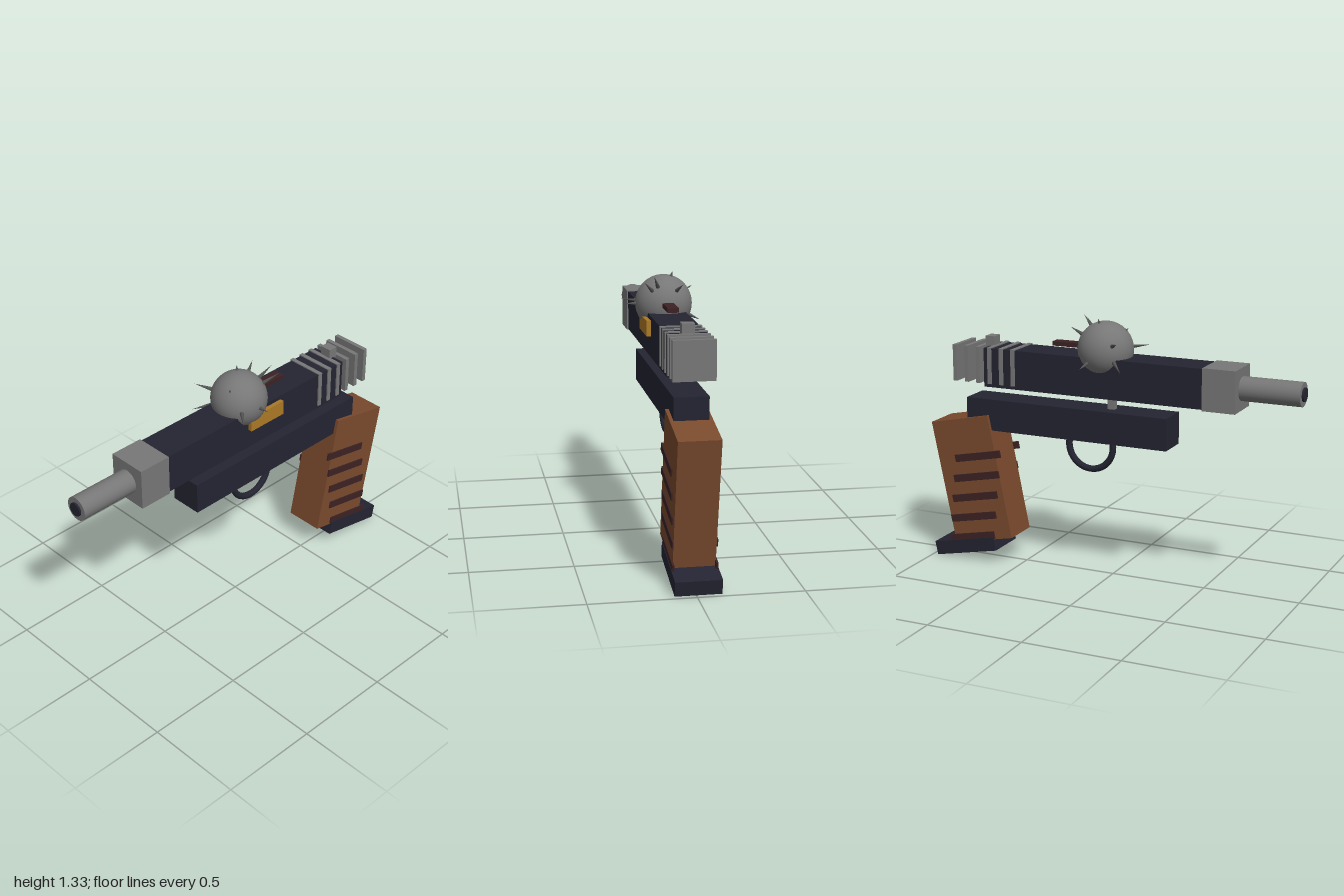
import * as THREE from 'three';

const mat = (name, color) => {
  const m = new THREE.MeshStandardMaterial({ color });
  m.name = name;
  return m;
};

export function createModel() {
  const steel = mat('steel grey', 0x777777);
  const spikeGrey = mat('dark grey', 0x555555);
  const navy = mat('dark navy', 0x242432);
  const wood = mat('wood brown', 0x7a4a2d);
  const darkWood = mat('dark brown', 0x3c2224);
  const gold = mat('gold', 0xab7926);

  const model = new THREE.Group();
  model.name = 'spikedPistol';
  const CX = -0.01; // centre plane of the gun
  const TILT = -0.2; // rake of the grip

  const add = (name, geometry, material, x, y, z, rx = 0) => {
    const m = new THREE.Mesh(geometry, material);
    m.name = name;
    m.position.set(x, y, z);
    m.rotation.x = rx;
    model.add(m);
    return m;
  };
  const box = (name, material, w, h, d, x, y, z, rx) =>
    add(name, new THREE.BoxGeometry(w, h, d), material, x, y, z, rx);
  const rod = (name, material, r, length, z) =>
    add(name, new THREE.CylinderGeometry(r, r, length, 24), material, CX, 1.047, z, Math.PI / 2);

  // Upper body, muzzle block and barrel
  box('slide', navy, 0.187, 0.2, 1.24, CX, 1.045, -0.055);
  box('muzzleBlock', steel, 0.2, 0.21, 0.17, CX, 1.045, 0.6);
  rod('barrel', steel, 0.06, 0.33, 0.825);
  rod('bore', navy, 0.034, 0.02, 0.99);

  // Lower frame and the post that carries the slide
  box('frame', navy, 0.165, 0.163, 1.112, CX, 0.795, -0.23);
  box('post', steel, 0.032, 0.09, 0.038, CX, 0.91, 0);

  // Trigger and guard
  const guard = add('triggerGuard', new THREE.TorusGeometry(0.122, 0.017, 10, 40), navy, CX, 0.674, -0.118);
  guard.rotation.y = Math.PI / 2;
  box('trigger', steel, 0.03, 0.06, 0.03, CX, 0.732, -0.128, 0.3);

  // Cooling fins and rear sight
  for (let i = 0; i < 6; i++) {
    box('rearFin', steel, 0.2, 0.188, 0.022, CX, 1.056, -0.508 - i * 0.0665);
  }
  box('rearSight', steel, 0.06, 0.055, 0.05, CX, 1.168, -0.672);

  // Raked grip with ribs on both sides and a base plate
  box('grip', wood, 0.2, 0.655, 0.338, CX, 0.439, -0.76, TILT);
  for (let i = 0; i < 5; i++) {
    for (const side of [-1, 1]) {
      box('gripRib', darkWood, 0.01, 0.038, 0.27,
        CX + side * 0.102, 0.572 - i * 0.1105, -0.719 - i * 0.0107, TILT);
    }
  }
  box('basePlate', navy, 0.22, 0.073, 0.36, CX, 0.073, -0.803, TILT);

  // Spiked ball on top
  const centre = new THREE.Vector3(CX, 1.178, -0.035);
  add('ball', new THREE.SphereGeometry(0.14, 32, 20), steel, ...centre.toArray());
  const up = new THREE.Vector3(0, 1, 0);
  const tips = [
    [0.108, 1.304, -0.19], [-0.18, 1.24, 0.1], [-0.18, 1.1, 0.12],
    [0.18, 1.177, 0.118], [-0.18, 1.1, -0.1], [0.178, 1.18, -0.045],
    [-0.05, 1.335, -0.058], [-0.08, 1.29, -0.195], [0.03, 1.283, 0.07],
    [0.06, 1.33, -0.187],
  ];
  for (const t of tips) {
    const tip = new THREE.Vector3(...t);
    const dir = tip.clone().sub(centre).normalize();
    const base = centre.clone().addScaledVector(dir, 0.125);
    const spike = add('spike', new THREE.ConeGeometry(0.012, base.distanceTo(tip), 8), spikeGrey,
      ...base.lerp(tip, 0.5).toArray());
    spike.quaternion.setFromUnitVectors(up, dir);
  }

  // Bar behind the ball and side plate
  box('ballBar', darkWood, 0.055, 0.022, 0.21, CX, 1.187, -0.21);
  box('sidePlate', gold, 0.024, 0.076, 0.22, 0.093, 1.086, -0.118);

  return model;
}
